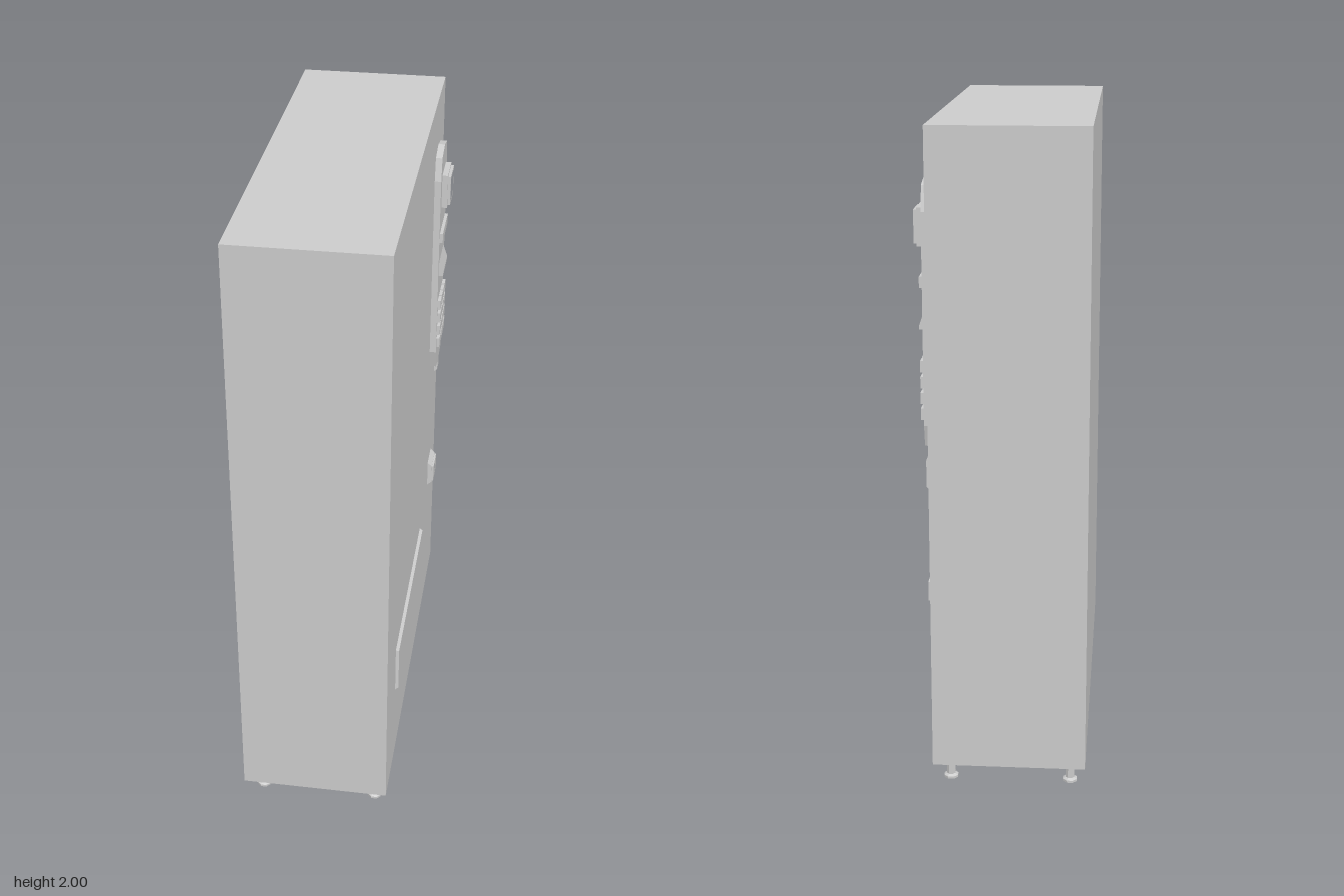
import * as THREE from 'three';

const grey = new THREE.MeshStandardMaterial({ color: 0xcccccc });
grey.name = 'light grey';

const FACE = 0.207; // x of the door face
const PANEL = 0.228; // x of the control panel face

export function createModel() {
  const model = new THREE.Group();
  model.name = 'vendingMachine';

  function add(name, geometry, parent = model) {
    const mesh = new THREE.Mesh(geometry, grey);
    mesh.name = name;
    parent.add(mesh);
    return mesh;
  }

  // Block given by its limits; its +x face can be drawn in at top, bottom and sides
  function block(name, x0, x1, y0, y1, z0, z1, top = 0, bottom = 0, side = 0, parent = model) {
    let g = new THREE.BoxGeometry(x1 - x0, y1 - y0, z1 - z0);
    const p = g.attributes.position;
    for (let i = 0; i < p.count; i++) {
      if (p.getX(i) < 0) continue;
      p.setY(i, p.getY(i) + (p.getY(i) > 0 ? -top : bottom));
      p.setZ(i, p.getZ(i) - Math.sign(p.getZ(i)) * side);
    }
    g.translate((x0 + x1) / 2, (y0 + y1) / 2, (z0 + z1) / 2);
    g = g.toNonIndexed();
    g.computeVertexNormals();
    return add(name, g, parent);
  }

  // Outline of [z, y] points pushed out along +x, with an optional hole
  function slab(name, points, x0, x1, hole) {
    const toVec = ([z, y]) => new THREE.Vector2(-z, y);
    const shape = new THREE.Shape(points.map(toVec));
    if (hole) shape.holes.push(new THREE.Path(hole.map(toVec)));
    const g = new THREE.ExtrudeGeometry(shape, { depth: x1 - x0, bevelEnabled: false });
    g.rotateY(Math.PI / 2);
    g.translate(x0, 0, 0);
    return add(name, g);
  }
  const rect = (y0, y1, z0, z1) => [[z0, y0], [z1, y0], [z1, y1], [z0, y1]];

  // Cabinet and door with the recessed window
  block('cabinet', -0.255, FACE - 0.015, 0.08, 2, -0.66, 0.66);
  slab('door', rect(0.08, 2, -0.66, 0.66), FACE - 0.015, FACE, rect(0.73, 1.922, -0.28, 0.525));

  // Delivery flap
  block('deliveryFlap', FACE - 0.005, 0.217, 0.345, 0.513, -0.22, 0.453, 0.008, 0.008, 0.006);

  // Control panel with cut corners
  const cz = -0.483;
  const right = [[0, 1.84], [0.074, 1.823], [0.092, 1.75], [0.092, 1.125], [0.074, 1.06], [0, 1.045]];
  const left = right.slice(1, -1).reverse().map(([z, y]) => [-z, y]);
  slab('controlPanel', [...right, ...left].map(([z, y]) => [z + cz, y]), FACE - 0.005, PANEL);

  // Screen with raised surround
  slab('screenSurround', rect(1.645, 1.757, -0.538, -0.426), PANEL - 0.003, 0.246);
  slab('screenRim', rect(1.652, 1.75, -0.531, -0.433), 0.246, 0.255, rect(1.662, 1.74, -0.521, -0.443));

  // Card slot and sloping note tray
  block('cardSlot', PANEL - 0.003, 0.238, 1.53, 1.563, -0.562, -0.402);
  block('noteTray', PANEL - 0.003, 0.242, 1.405, 1.465, -0.546, -0.412, 0.05);

  // Keypad
  const keypad = new THREE.Group();
  keypad.name = 'keypad';
  model.add(keypad);
  for (let row = 0; row < 4; row++) {
    for (let col = 0; col < 4; col++) {
      const y = 1.3 - row * 0.0475;
      const z = -0.419 - col * 0.0425;
      block('key', PANEL - 0.003, 0.238, y - 0.017, y + 0.017, z - 0.018, z + 0.018, 0, 0, 0, keypad);
    }
  }

  // Door latch
  block('latch', FACE - 0.003, 0.218, 0.94, 1.043, -0.616, -0.576, 0.01, 0.012);

  // Coin return with its button well
  block('coinReturn', FACE - 0.003, 0.222, 0.543, 0.642, -0.538, -0.442, 0.018, 0.015);
  slab('coinReturnFace', rect(0.562, 0.622, -0.534, -0.446), 0.221, 0.228, rect(0.582, 0.602, -0.501, -0.479));

  // Feet: flared top, stem and flat pad, turned as one piece
  const profile = [[0, 0], [0.023, 0], [0.023, 0.007], [0.014, 0.012], [0.014, 0.06], [0.025, 0.072], [0.025, 0.08]];
  let footGeometry = new THREE.LatheGeometry(profile.map(([r, y]) => new THREE.Vector2(r, y)), 8, Math.PI / 8);
  footGeometry = footGeometry.toNonIndexed();
  footGeometry.computeVertexNormals();
  for (const x of [-0.207, 0.16]) {
    for (const z of [-0.577, 0.577]) add('foot', footGeometry).position.set(x, 0, z);
  }

  return model;
}
